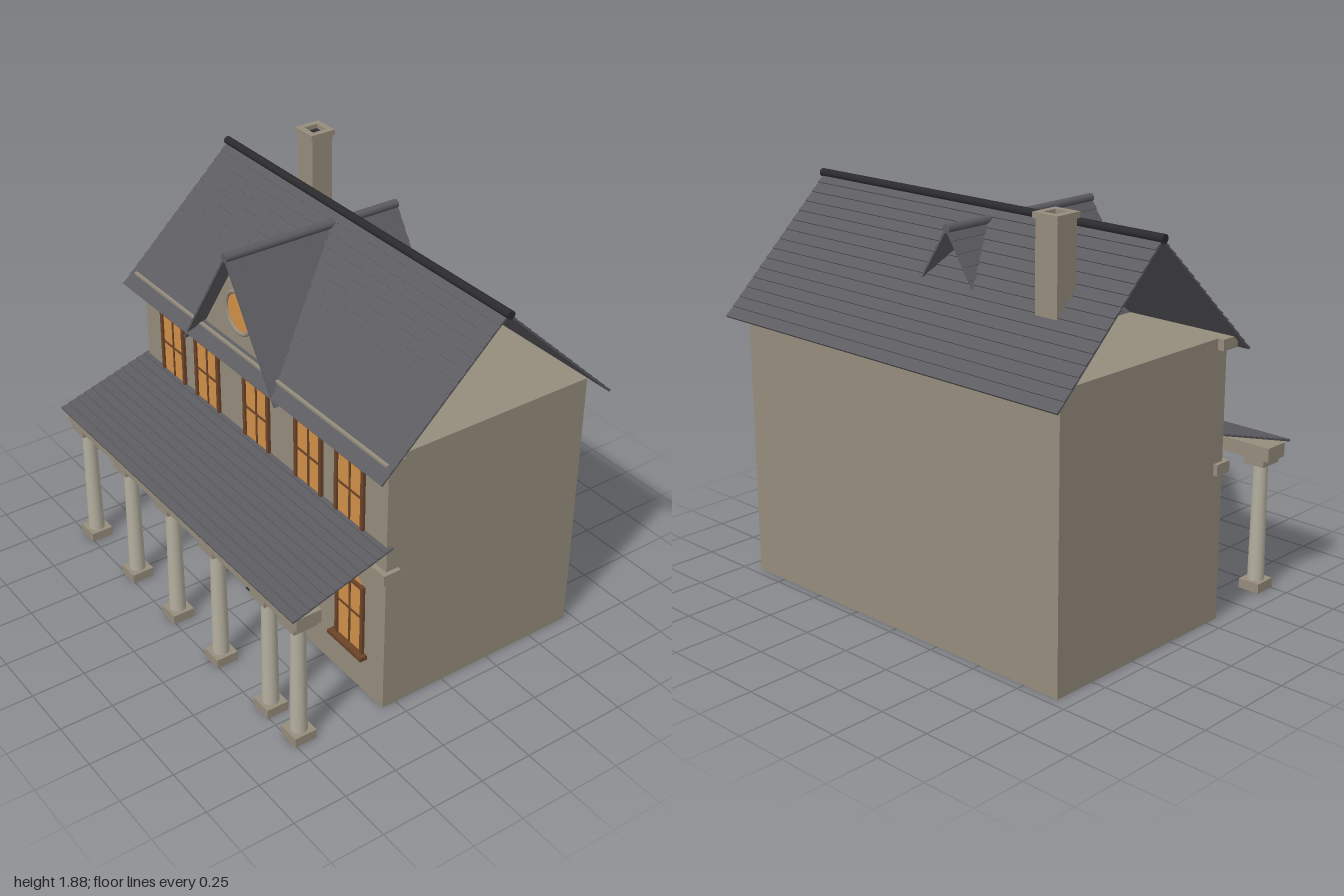
import * as THREE from 'three';

const mat = (name, color, side = THREE.FrontSide) => {
  const m = new THREE.MeshStandardMaterial({ color, side });
  m.name = name;
  return m;
};

export function createModel() {
  const root = new THREE.Group();
  root.name = 'house';
  const wall = mat('wall plaster', 0x958c7c);
  const stone = mat('column stone', 0xb3ae9e);
  const slate = mat('roof slate', 0x5b5b60, THREE.DoubleSide);
  const iron = mat('dark iron', 0x2b2b2d);
  const wood = mat('brown wood', 0x6b4429);
  const darkWood = mat('dark wood', 0x50321f);
  const glow = mat('lit glass', 0xd08f48);

  const add = (name, geo, m, x = 0, y = 0, z = 0, parent = root) => {
    const mesh = new THREE.Mesh(geo, m);
    mesh.name = name;
    mesh.position.set(x, y, z);
    parent.add(mesh);
    return mesh;
  };
  // box given by its limits on each axis
  const box = (name, m, x0, x1, y0, y1, z0, z1, parent = root) =>
    add(name, new THREE.BoxGeometry(x1 - x0, y1 - y0, z1 - z0), m,
      (x0 + x1) / 2, (y0 + y1) / 2, (z0 + z1) / 2, parent);
  const group = (name) => {
    const g = new THREE.Group();
    g.name = name;
    root.add(g);
    return g;
  };

  // shingled slope: saw-tooth profile from eave to ridge, swept along the width
  const V = (x, y, z) => new THREE.Vector3(x, y, z);
  const slope = (name, eave, ridge, across, courses) => {
    const u = ridge.clone().sub(eave);
    const len = u.length(), step = len / courses;
    u.normalize();
    const w = across.clone().normalize();
    const v = w.clone().cross(u);
    const s = new THREE.Shape();
    s.moveTo(0, -0.005);
    for (let i = 0; i < courses; i++) {
      s.lineTo(i * step, 0.006);
      s.lineTo((i + 1) * step, 0.001);
    }
    s.lineTo(len, -0.005);
    const geo = new THREE.ExtrudeGeometry(s, { depth: across.length(), bevelEnabled: false });
    geo.applyMatrix4(new THREE.Matrix4().makeBasis(u, v, w).setPosition(eave));
    add(name, geo, slate);
  };

  // body, cornice and string course
  const F = 0.32;
  box('body', wall, -0.93, 0.925, 0, 1.28, -0.71, F);
  box('cornice', wall, -0.96, 0.955, 1.23, 1.28, 0.26, 0.355);
  box('stringCourse', wall, -0.95, 0.945, 0.68, 0.73, 0.26, 0.345);

  // main roof with open gable ends
  const RZ = -0.195;
  slope('frontRoof', V(-0.99, 1.22, 0.4), V(-0.99, 1.78, RZ), V(1.975, 0, 0), 15);
  slope('backRoof', V(0.985, 1.22, -0.79), V(0.985, 1.78, RZ), V(-1.975, 0, 0), 15);
  const cap = (name, r, len, m) => add(name, new THREE.CylinderGeometry(r, r, len, 10), m);
  const ridge = cap('roofRidge', 0.019, 2, iron);
  ridge.rotation.z = Math.PI / 2;
  ridge.position.set(0, 1.783, RZ);

  // cross gable running through the roof
  const GX = -0.105;
  slope('gableRoofRight', V(0.25, 1.19, 0.4), V(GX, 1.735, 0.4), V(0, 0, -0.89), 11);
  slope('gableRoofLeft', V(-0.46, 1.19, -0.49), V(GX, 1.735, -0.49), V(0, 0, 0.89), 11);
  const gr = cap('gableRidge', 0.02, 0.89, slate);
  gr.rotation.x = Math.PI / 2;
  gr.position.set(GX, 1.733, -0.045);
  const tri = new THREE.Shape();
  tri.moveTo(-0.305, 1.25);
  tri.lineTo(0.305, 1.25);
  tri.lineTo(0, 1.72);
  add('gableWall', new THREE.ExtrudeGeometry(tri, { depth: 0.03, bevelEnabled: false }), wall, GX, 0, 0.3);
  add('roundWindow', new THREE.CircleGeometry(0.09, 32), glow, GX, 1.455, 0.334);
  add('roundWindowFrame', new THREE.TorusGeometry(0.096, 0.01, 8, 32), wall, GX, 1.455, 0.334);

  // chimney with hollow cap
  const ch = group('chimney');
  box('chimneyShaft', wall, -0.74, -0.625, 1.28, 1.86, -0.52, -0.41, ch);
  const sq = (S, r) => {
    const p = new S();
    p.moveTo(-r, -r); p.lineTo(r, -r); p.lineTo(r, r); p.lineTo(-r, r); p.closePath();
    return p;
  };
  const rim = sq(THREE.Shape, 0.065);
  rim.holes.push(sq(THREE.Path, 0.035));
  const rimMesh = add('chimneyCap', new THREE.ExtrudeGeometry(rim, { depth: 0.025, bevelEnabled: false }),
    wall, -0.683, 1.86, -0.465, ch);
  rimMesh.rotation.x = -Math.PI / 2;
  box('flue', iron, -0.718, -0.648, 1.858, 1.864, -0.5, -0.43, ch);

  // porch: roof, beam and columns
  slope('porchRoof', V(-0.95, 0.705, 0.79), V(-0.95, 0.855, 0.3), V(1.895, 0, 0), 12);
  box('porchBeam', wall, -0.94, 0.935, 0.635, 0.7, 0.645, 0.765);
  for (const x of [-0.86, -0.47, -0.107, 0.257, 0.647, 0.856]) {
    const c = group('column');
    box('columnBase', wall, x - 0.053, x + 0.053, 0, 0.045, 0.652, 0.758, c);
    add('columnShaft', new THREE.CylinderGeometry(0.032, 0.038, 0.56, 20), stone, x, 0.325, 0.705, c);
    box('columnCapital', wall, x - 0.053, x + 0.053, 0.603, 0.635, 0.648, 0.762, c);
  }

  // arched windows with wooden frames
  const window_ = (x, y0, y1) => {
    const g = group('window');
    const b = (n, m, ...r) => box(n, m, x + r[0], x + r[1], r[2], r[3], F - 0.01, r[4], g);
    add('arch', new THREE.CircleGeometry(0.082, 24, 0, Math.PI), glow, x, y1 - 0.03, F + 0.003, g);
    b('pane', glow, -0.085, 0.085, y0, y1 - 0.01, F + 0.005);
    for (const s of [-1, 1]) b('jamb', wood, s * 0.09 - 0.009, s * 0.09 + 0.009, y0, y1, F + 0.014);
    b('head', wood, -0.1, 0.1, y1 - 0.016, y1, F + 0.016);
    b('sill', wood, -0.12, 0.12, y0 - 0.012, y0 + 0.008, F + 0.036);
    b('mullion', wood, -0.005, 0.005, y0, y1, F + 0.009);
    const my = (y0 + y1) / 2 + 0.01;
    b('crossbar', wood, -0.085, 0.085, my - 0.005, my + 0.005, F + 0.009);
  };
  for (const x of [-0.685, -0.395, 0, 0.39, 0.68]) window_(x, 0.82, 1.16);
  for (const x of [-0.695, 0.275, 0.69]) window_(x, 0.2, 0.563);

  // plank double door with straps, pilasters and lintel
  const door = group('door');
  box('doorBacking', darkWood, -0.275, 0.063, 0, 0.6, F - 0.01, F + 0.004, door);
  const planks = 8, pw = 0.338 / planks;
  for (let i = 0; i < planks; i++) {
    const x = -0.275 + i * pw;
    box('plank', wood, x + 0.002, x + pw - 0.002, 0, 0.6, F - 0.01, F + 0.01, door);
  }
  for (const y of [0.11, 0.42]) {
    box('strapLeft', iron, -0.27, -0.15, y - 0.009, y + 0.009, F, F + 0.014, door);
    box('strapRight', iron, -0.065, 0.058, y - 0.009, y + 0.009, F, F + 0.014, door);
  }
  add('knob', new THREE.SphereGeometry(0.009, 10, 8), iron, 0.027, 0.27, F + 0.015, door);
  box('lintel', darkWood, -0.26, 0.05, 0.6, 0.64, F - 0.01, F + 0.012, door);
  for (const x of [-0.298, 0.086]) {
    box('pilaster', wall, x - 0.023, x + 0.023, 0, 0.56, F - 0.01, F + 0.018, door);
    box('pilasterCap', wall, x - 0.03, x + 0.03, 0.56, 0.6, F - 0.01, F + 0.026, door);
  }

  // wall board beside the door
  const board = group('noticeBoard');
  box('boardPanel', wood, -0.55, -0.315, 0.15, 0.5, F - 0.01, F + 0.006, board);
  box('boardRail', iron, -0.57, -0.31, 0.5, 0.518, F - 0.01, F + 0.022, board);
  for (const x of [-0.535, -0.325])
    box('boardGlass', glow, x - 0.015, x + 0.01, 0.2, 0.44, F, F + 0.009, board);
  const fig = new THREE.Shape();
  fig.moveTo(-0.03, 0.22); fig.lineTo(0.03, 0.22); fig.lineTo(0.015, 0.37); fig.lineTo(-0.015, 0.37);
  add('boardPlate', new THREE.ShapeGeometry(fig), slate, -0.38, 0, F + 0.009, board);

  // hanging banners
  for (const x of [-0.325, 0.113]) {
    const g = group('banner');
    box('bannerArm', iron, x - 0.006, x + 0.006, 0.646, 0.658, F, 0.42, g);
    box('bannerRod', iron, x - 0.065, x + 0.065, 0.64, 0.65, 0.4, 0.41, g);
    box('bannerCloth', slate, x - 0.06, x + 0.06, 0.385, 0.645, 0.402, 0.408, g);
    box('bannerEmblem', glow, x - 0.022, x + 0.022, 0.485, 0.57, 0.4, 0.411, g);
  }

  // porch lanterns
  for (const x of [-0.29, 0.45]) {
    const g = group('lantern');
    const z = 0.64;
    box('lanternGlass', glow, x - 0.025, x + 0.025, 0.484, 0.555, z - 0.025, z + 0.025, g);
    box('lanternFoot', iron, x - 0.029, x + 0.029, 0.477, 0.485, z - 0.029, z + 0.029, g);
    const hood = add('lanternHood', new THREE.CylinderGeometry(0.008, 0.05, 0.03, 4), iron, x, 0.568, z, g);
    hood.rotation.y = Math.PI / 4;
    add('lanternRod', new THREE.CylinderGeometry(0.003, 0.003, 0.16, 6), iron, x, 0.66, z, g);
  }
  return root;
}
